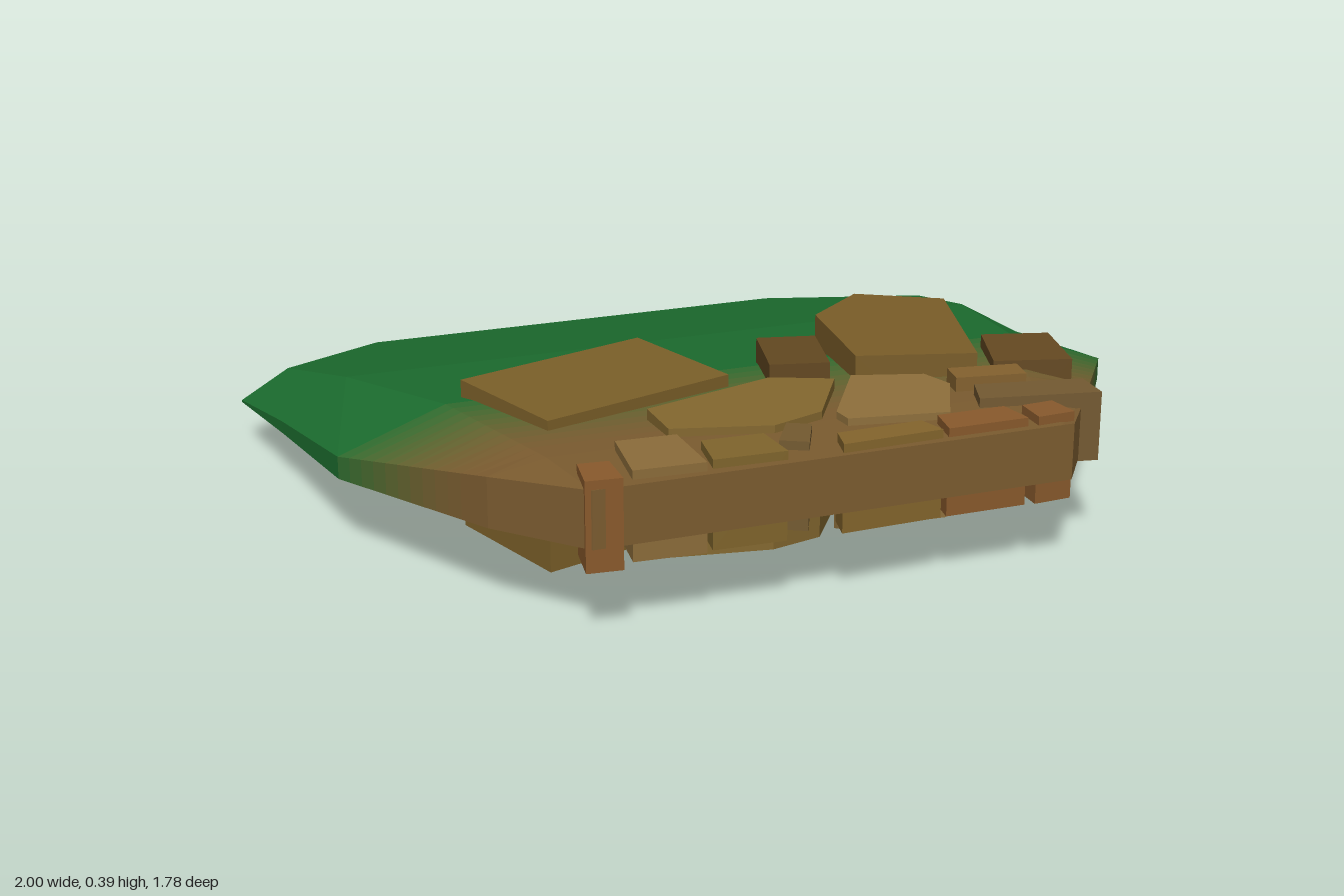
import * as THREE from 'three';

const GREEN = new THREE.Color(0x1c6e2f);
const EARTH = new THREE.Color(0x7c5c30);

// Ground sections from back to front: z, left x, right x, plateau y, rim y, underside y, plateau inset
const SECTIONS = [
  [-0.89, -0.57, 0.57, 0.11, 0.11, 0.11, 0],
  [-0.54, -1, 1, 0.185, 0.115, 0.11, 0.12],
  [-0.2, -0.965, 1, 0.262, 0.17, 0.14, 0.16],
  [0.23, -0.925, 1, 0.32, 0.228, 0.175, 0.25],
  [0.68, -0.71, 0.7, 0.34, 0.315, 0.2, 0.13],
  [0.89, -0.55, 0.55, 0.34, 0.34, 0.21, 0.03],
];
const FADE_START = 3;
const FADE_STEPS = 12;

function makeMesh(name, geometry, color) {
  const mesh = new THREE.Mesh(geometry, new THREE.MeshStandardMaterial({ color, flatShading: true }));
  mesh.name = name;
  return mesh;
}

function fromTriangles(points) {
  const geometry = new THREE.BufferGeometry().setFromPoints(points);
  geometry.computeVertexNormals();
  return geometry;
}

// Six corners of a section: underside, right rim, plateau, left rim
function sectionRing([z, xl, xr, top, rim, bottom, inset]) {
  return [[xl, bottom], [xr, bottom], [xr, rim], [xr - inset, top], [xl + inset, top], [xl, rim]]
    .map(([x, y]) => new THREE.Vector3(x, y, z));
}

function sideQuad(a, b, i) {
  const j = (i + 1) % 6;
  return [a[i], a[j], b[j], a[i], b[j], b[i]];
}

function buildGround() {
  const ground = new THREE.Group();
  ground.name = 'ground';

  // Extra sections at the front let the grass fade into earth
  const rings = SECTIONS.flatMap((section, k) => {
    const steps = k === FADE_START ? FADE_STEPS : 1;
    return Array.from({ length: steps }, (_, s) => sectionRing(
      section.map((v, i) => (s ? THREE.MathUtils.lerp(v, SECTIONS[k + 1][i], s / steps) : v))));
  });

  const underside = [];
  for (let k = 0; k < rings.length - 1; k++) {
    const a = rings[k], b = rings[k + 1];
    underside.push(...sideQuad(a, b, 0));
    const band = [1, 2, 3, 4, 5].flatMap((i) => sideQuad(a, b, i));
    const blend = THREE.MathUtils.smoothstep((a[0].z + b[0].z) / 2, 0.15, 0.65);
    const color = GREEN.clone().lerp(EARTH, blend);
    ground.add(makeMesh(blend > 0.5 ? 'earthBand' : 'grassBand', fromTriangles(band), color));
  }
  ground.add(makeMesh('groundUnderside', fromTriangles(underside), GREEN));

  // Front bank
  const front = rings[rings.length - 1];
  const bank = [1, 2, 3, 4].flatMap((i) => [front[0], front[i], front[i + 1]]);
  ground.add(makeMesh('frontBank', fromTriangles(bank), EARTH));
  return ground;
}

// Upright prism over an [x, z] outline; the bottom may rise towards the front
function prismStone(name, color, bottom, top, slope, outline) {
  const shape = new THREE.Shape(outline.map(([x, z]) => new THREE.Vector2(x, -z)));
  const geometry = new THREE.ExtrudeGeometry(shape, { depth: top - bottom, bevelEnabled: false });
  geometry.rotateX(-Math.PI / 2).translate(0, bottom, 0);
  const zBack = Math.min(...outline.map((p) => p[1]));
  const pos = geometry.attributes.position;
  for (let i = 0; i < pos.count; i++) {
    if (pos.getY(i) < bottom + 0.001) pos.setY(i, bottom + slope * (pos.getZ(i) - zBack));
  }
  geometry.computeVertexNormals();
  return makeMesh(name, geometry, color);
}

// Turned block, narrowed at the back by the taper factor
function blockStone(name, color, x, z, width, depth, turn, bottom, top, taper = 1) {
  const geometry = new THREE.BoxGeometry(width, top - bottom, depth);
  const pos = geometry.attributes.position;
  for (let i = 0; i < pos.count; i++) {
    if (pos.getZ(i) < 0) pos.setX(i, pos.getX(i) * taper);
  }
  const mesh = makeMesh(name, geometry, color);
  mesh.position.set(x, (bottom + top) / 2, z);
  mesh.rotation.y = turn;
  return mesh;
}

function buildStones() {
  const stones = new THREE.Group();
  stones.name = 'stones';

  // Large stones among the grass
  stones.add(
    blockStone('largeSlab', 0x7c6029, -0.335, 0.27, 0.5, 0.345, 0.3, 0, 0.355),
    prismStone('largeBoulder', 0x7a5d28, 0.12, 0.387, 0,
      [[0.44, -0.015], [0.63, 0.1], [0.51, 0.51], [0.24, 0.43], [0.28, 0.11]]),
    blockStone('darkStone', 0x634820, 0.137, 0.305, 0.14, 0.2, -0.24, 0.14, 0.375),
    blockStone('darkStone', 0x664a22, 0.68, 0.42, 0.185, 0.2, -0.28, 0.13, 0.355, 0.88),
  );

  // Paving stones
  stones.add(
    prismStone('pathStone', 0x84682f, 0.02, 0.358, 0.17,
      [[0.03, 0.42], [0.165, 0.48], [0.05, 0.67], [-0.08, 0.715], [-0.3, 0.655], [-0.3, 0.52]]),
    prismStone('pathStone', 0x8f703c, 0.02, 0.357, 0.3,
      [[0.21, 0.47], [0.37, 0.52], [0.395, 0.6], [0.31, 0.77], [0.085, 0.73], [0.08, 0.68]]),
    blockStone('pathStone', 0x84622f, 0.495, 0.585, 0.165, 0.07, -0.17, 0.15, 0.37),
    blockStone('pathStone', 0x745a32, 0.55, 0.71, 0.28, 0.095, -0.2, 0.2, 0.362, 0.9),
  );

  // Front row: colour, x, z, width, depth, turn
  const row = [
    [0x8a5a2c, -0.52, 0.84, 0.08, 0.1, -0.1],
    [0x8c6c3a, -0.37, 0.78, 0.16, 0.175, -0.06],
    [0x80652c, -0.195, 0.81, 0.165, 0.115, -0.04],
    [0x745a30, -0.055, 0.775, 0.065, 0.11, -0.5],
    [0x84652c, 0.125, 0.84, 0.235, 0.068, 0.03],
    [0x8a5a2c, 0.352, 0.828, 0.19, 0.085, 0],
    [0x885a2d, 0.513, 0.832, 0.09, 0.08, 0.06],
  ];
  row.forEach(([color, ...placement]) => {
    stones.add(blockStone('edgeStone', color, ...placement, 0.158, 0.36, 0.85));
  });
  return stones;
}

export function createModel() {
  const model = new THREE.Group();
  model.name = 'stonyGround';
  model.add(buildGround(), buildStones());
  return model;
}
